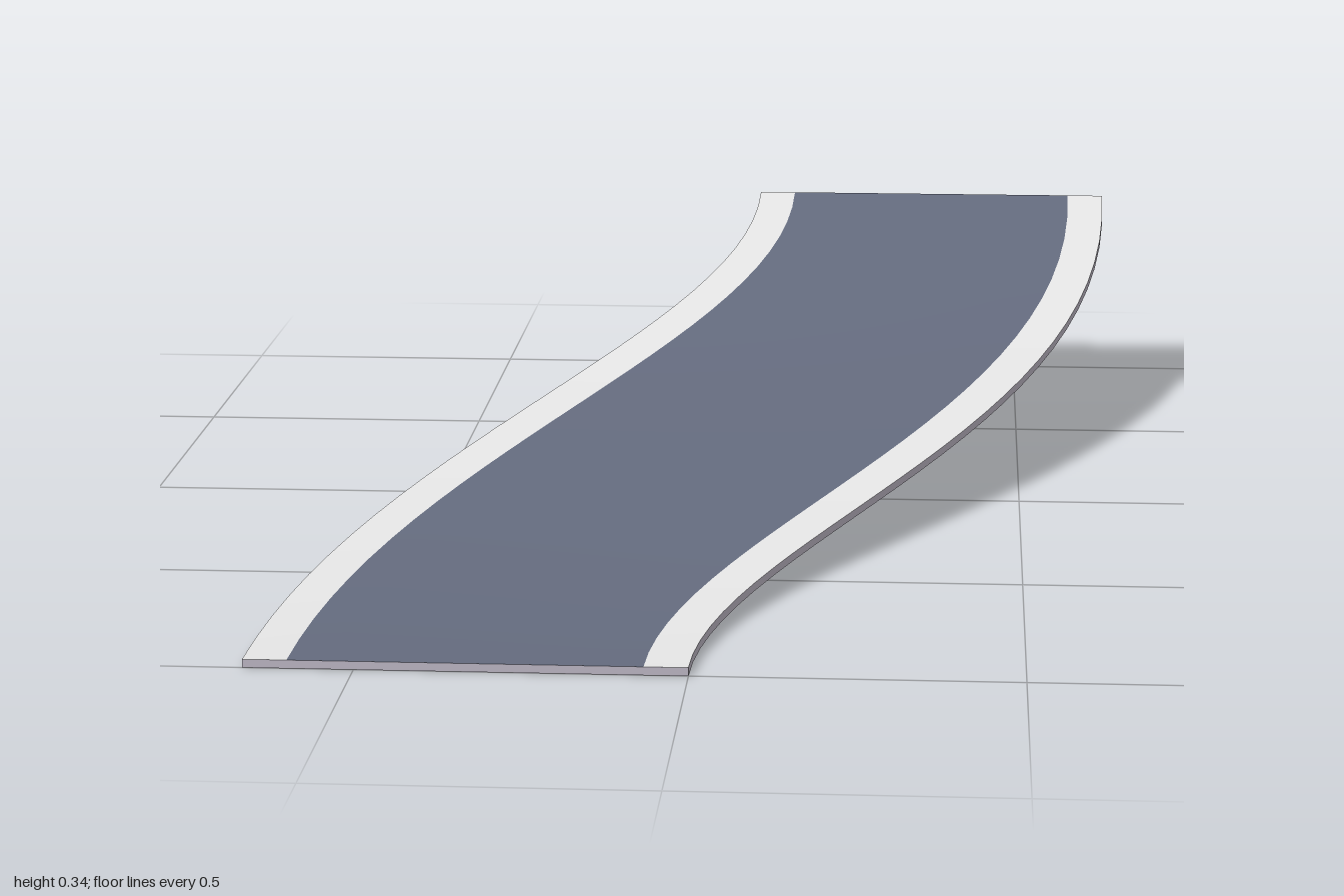
import * as THREE from 'three';

const SEGMENTS = 28, THICKNESS = 0.013, RISE = 0.332;

// S-shaped edge on the -x side; the +x edge is the same curve turned half round
const edge = new THREE.CubicBezierCurve(
  new THREE.Vector2(-0.667, 1), new THREE.Vector2(-0.667, 0.05),
  new THREE.Vector2(0, -0.44), new THREE.Vector2(0, -1));

// Point on the ramp: u runs across from -x to +x, t runs from front to back
function point(u, t, top) {
  const a = edge.getPoint(t), b = edge.getPoint(1 - t).negate();
  const x = THREE.MathUtils.lerp(a.x, b.x, u);
  const z = THREE.MathUtils.lerp(a.y, b.y, u);
  const climb = Math.pow(Math.max(0, (1 - z) / 2), 1.6);
  const bank = 0.008 * (2 * u - 1) * Math.sin(Math.PI * t);
  return [x, RISE * climb + bank + (top ? THICKNESS : 0), z];
}

// Long strip between two cross-section points given as [u, top]
function strip(name, from, to, material, across = 1) {
  const positions = [], index = [], row = across + 1;
  for (let i = 0; i <= SEGMENTS; i++) {
    for (let j = 0; j <= across; j++) {
      const u = THREE.MathUtils.lerp(from[0], to[0], j / across);
      const top = j === across ? to[1] : from[1];
      positions.push(...point(u, i / SEGMENTS, top));
      if (i < SEGMENTS && j < across) {
        const k = i * row + j;
        index.push(k, k + 1, k + row + 1, k, k + row + 1, k + row);
      }
    }
  }
  return makeMesh(name, positions, index, material);
}

// Flat end face between two positions across the ramp
function cap(name, t, u0, u1, material) {
  const corners = [[u0, false], [u1, false], [u1, true], [u0, true]];
  const positions = corners.flatMap(([u, top]) => point(u, t, top));
  return makeMesh(name, positions, t === 0 ? [0, 1, 2, 0, 2, 3] : [0, 2, 1, 0, 3, 2], material);
}

function makeMesh(name, positions, index, material) {
  const geometry = new THREE.BufferGeometry();
  geometry.setAttribute('position', new THREE.Float32BufferAttribute(positions, 3));
  geometry.setIndex(index);
  geometry.computeVertexNormals();
  const mesh = new THREE.Mesh(geometry, material);
  mesh.name = name;
  return mesh;
}

function material(name, color) {
  const m = new THREE.MeshStandardMaterial({ color });
  m.name = name;
  return m;
}

export function createModel() {
  const asphalt = material('blue grey asphalt', 0x646b7e);
  const kerb = material('light grey kerb', 0xe6e6e6);
  const base = material('pale violet base', 0xc6c0ce);

  const ramp = new THREE.Group();
  ramp.name = 'curvedRamp';
  ramp.add(
    // Top surface
    strip('rightKerb', [0, true], [0.1, true], kerb),
    strip('roadSurface', [0.1, true], [0.9, true], asphalt, 8),
    strip('leftKerb', [0.9, true], [1, true], kerb),
    // Slab sides, underside and ends
    strip('leftSide', [1, true], [1, false], base),
    strip('underside', [1, false], [0, false], base, 10),
    strip('rightSide', [0, false], [0, true], base),
    cap('frontEnd', 0, 0, 1, base),
    cap('backEndRight', 1, 0, 0.1, base),
    cap('backEndRoad', 1, 0.1, 0.9, asphalt),
    cap('backEndLeft', 1, 0.9, 1, base),
  );
  return ramp;
}
